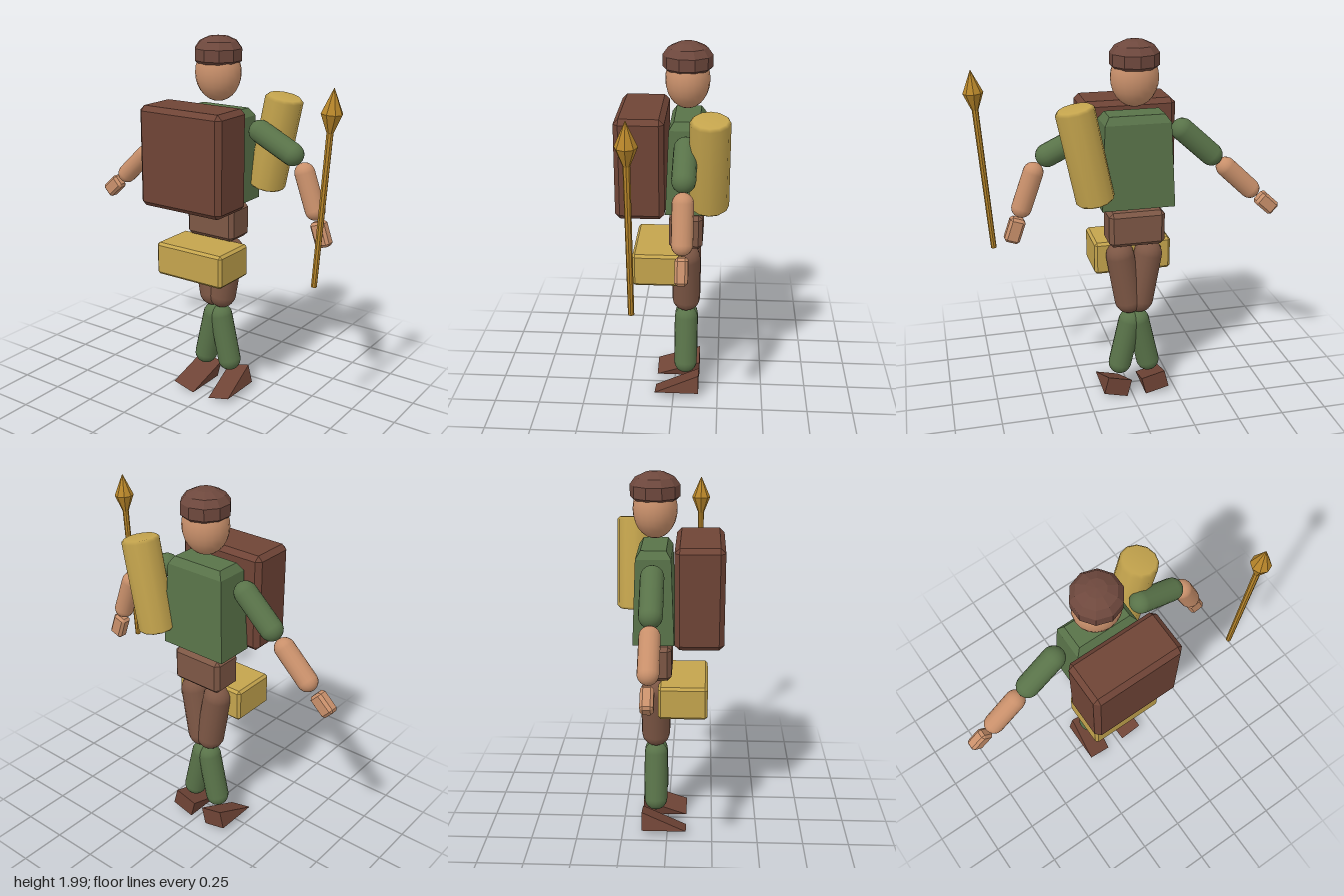
import * as THREE from 'three';
import { ConvexGeometry } from 'three/addons/geometries/ConvexGeometry.js';

const V = (x, y, z) => new THREE.Vector3(x, y, z);
const mat = (color, flatShading = false) => new THREE.MeshStandardMaterial({ color, flatShading });
const CX = -0.02, CZ = -0.065; // centre line of the body

export function createModel() {
  const model = new THREE.Group();
  model.name = 'traveller';
  const leather = mat(0x6f4436, true), trousers = mat(0x7d5745), hips = mat(0x7d5745, true);
  const green = mat(0x597349), tunic = mat(0x597349, true), skin = mat(0xc9906b);
  const canvas = mat(0xc4a44d), pouchCloth = mat(0xc4a44d, true), gold = mat(0xb8862a, true);

  const add = (name, geometry, material, x = 0, y = 0, z = 0) => {
    const mesh = new THREE.Mesh(geometry, material);
    mesh.name = name;
    mesh.position.set(x, y, z);
    model.add(mesh);
    return mesh;
  };

  // Turns a mesh so that its y axis runs from a to b, centred between them
  const span = (mesh, a, b) => {
    mesh.position.copy(a).add(b).multiplyScalar(0.5);
    mesh.quaternion.setFromUnitVectors(V(0, 1, 0), b.clone().sub(a).normalize());
    return mesh;
  };
  const limb = (name, r, material, a, b) =>
    span(add(name, new THREE.CapsuleGeometry(r, a.distanceTo(b), 6, 16), material), a, b);

  // Box with flat chamfered edges
  const chamferBox = (w, h, d, c) => {
    const pts = [], x = w / 2, y = h / 2, z = d / 2;
    for (const i of [-1, 1]) for (const j of [-1, 1]) for (const k of [-1, 1]) {
      pts.push(V(i * x, j * (y - c), k * (z - c)));
      pts.push(V(i * (x - c), j * y, k * (z - c)));
      pts.push(V(i * (x - c), j * (y - c), k * z));
    }
    return new ConvexGeometry(pts);
  };

  // Head
  const head = add('head', new THREE.SphereGeometry(1, 20, 14), skin, CX, 1.81, CZ);
  head.scale.set(0.124, 0.148, 0.114);

  // Cap
  const capProfile = [[0, 1.86], [0.11, 1.86], [0.127, 1.875], [0.127, 1.935], [0.1, 1.972], [0.05, 1.995], [0, 2]]
    .map(([r, y]) => new THREE.Vector2(r, y));
  add('cap', new THREE.LatheGeometry(capProfile, 10), mat(0x6e483d, true), CX, 0, CZ);

  // Torso, widening downward, with chamfered shoulders
  const torso = [];
  for (const [y, x, z] of [[1.145, 0.193, 0.107], [1.59, 0.172, 0.09], [1.63, 0.145, 0.065]])
    for (const i of [-1, 1]) for (const k of [-1, 1]) torso.push(V(i * x, y, k * z));
  add('torso', new ConvexGeometry(torso), tunic, CX, 0, CZ - 0.003);

  // Pack, hips and pouch
  add('pack', chamferBox(0.505, 0.53, 0.253, 0.026), leather, CX, 1.4, 0.167);
  add('hips', chamferBox(0.3, 0.19, 0.177, 0.022), hips, CX, 1.02, CZ);
  add('pouch', chamferBox(0.42, 0.18, 0.26, 0.014), pouchCloth, CX, 0.825, 0.085);

  // Legs with wedge shaped feet
  const wedge = new THREE.Shape([
    new THREE.Vector2(-0.123, -0.052), new THREE.Vector2(0.123, -0.052), new THREE.Vector2(-0.123, 0.052)]);
  const footGeometry = new THREE.ExtrudeGeometry(wedge, { depth: 0.136, bevelEnabled: false })
    .translate(0, 0, -0.068).rotateY(-Math.PI / 2);
  for (const [side, s] of [['left', 1], ['right', -1]]) {
    const at = (x, y) => V(CX + s * x, y, CZ);
    limb(side + 'Thigh', 0.077, trousers, at(0.077, 0.848), at(0.03, 0.58));
    limb(side + 'Shin', 0.064, green, at(0.022, 0.448), at(0.08, 0.192));
    const foot = add(side + 'Foot', footGeometry, leather, CX + s * 0.107, 0.076, -0.018);
    foot.rotation.z = s * 0.245;
  }

  // Arms: shoulder, elbow, forearm and hand points
  const arms = {
    left: [[0.24, 1.53], [0.433, 1.437], [0.507, 1.352], [0.573, 1.168], [0.592, 1.112], [0.636, 0.985]],
    right: [[-0.275, 1.525], [-0.437, 1.378], [-0.52, 1.304], [-0.662, 1.17], [-0.716, 1.122], [-0.806, 1.04]],
  };
  for (const [side, points] of Object.entries(arms)) {
    const p = points.map(([x, y]) => V(x, y, -0.068));
    limb(side + 'UpperArm', 0.06, green, p[0], p[1]);
    limb(side + 'Forearm', 0.053, skin, p[2], p[3]);
    span(add(side + 'Hand', chamferBox(0.082, p[4].distanceTo(p[5]), 0.064, 0.014), mat(0xc9906b, true)), p[4], p[5]);
  }

  // Rolled blanket slung behind the left shoulder
  const rollProfile = [[0, -0.25], [0.085, -0.25], [0.1, -0.236], [0.1, 0.236], [0.085, 0.25], [0, 0.25]]
    .map(([r, y]) => new THREE.Vector2(r, y));
  span(add('bedroll', new THREE.LatheGeometry(rollProfile, 12), canvas),
    V(0.209, 1.21, -0.188), V(0.31, 1.7, -0.188));

  // Spear
  const foot = V(0.708, 0.862, 0.165), neck = V(0.761, 1.63, 0.165), tip = V(0.774, 1.84, 0.165);
  span(add('spearShaft', new THREE.CylinderGeometry(0.017, 0.015, foot.distanceTo(neck), 8), gold), foot, neck);
  const headProfile = [[0, -0.105], [0.017, -0.105], [0.053, -0.015], [0, 0.105]]
    .map(([r, y]) => new THREE.Vector2(r, y));
  span(add('spearHead', new THREE.LatheGeometry(headProfile, 8), gold), neck, tip);

  return model;
}
